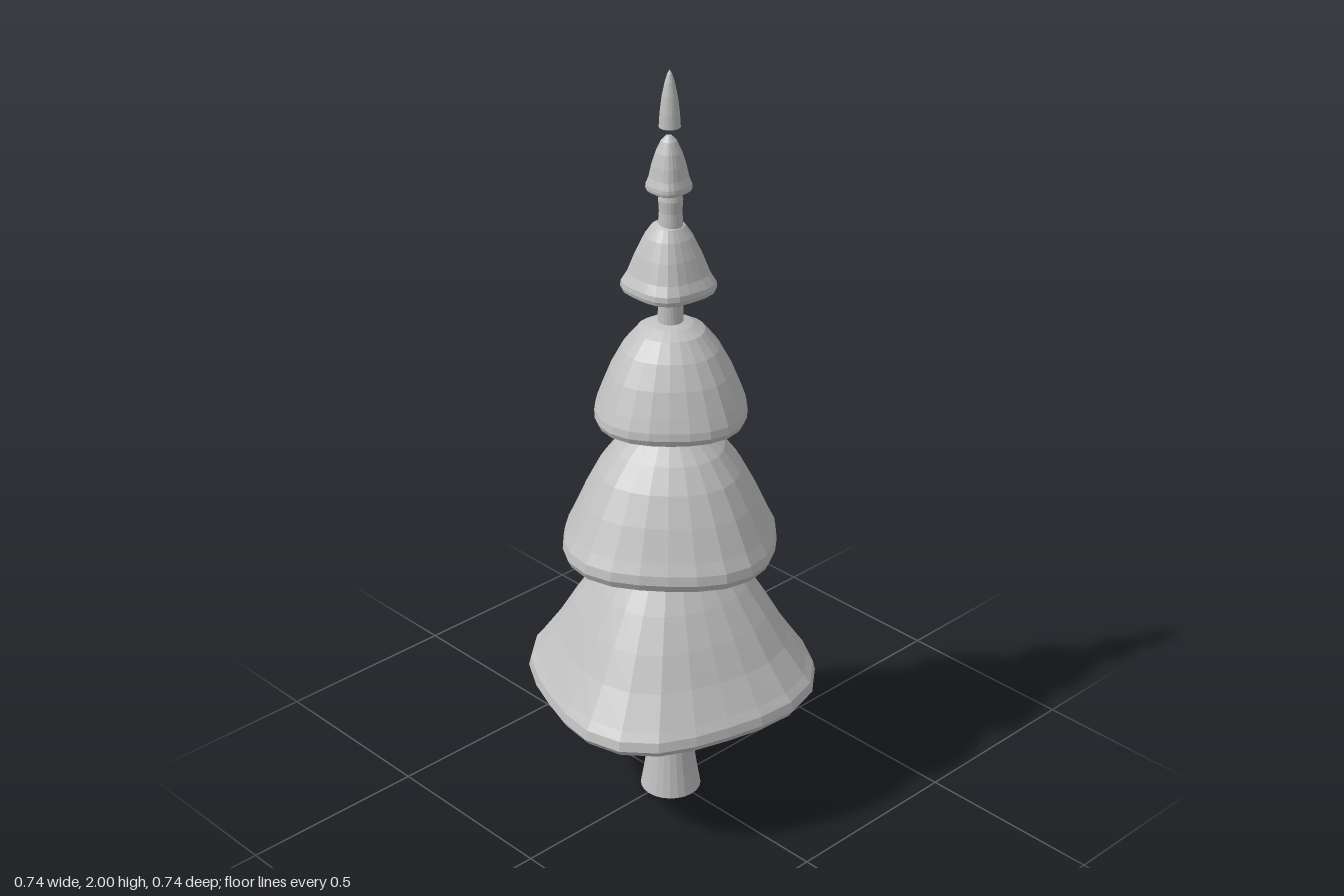
import * as THREE from 'three';

const SEGMENTS = 24;

// One bell-shaped tier: lathe profile with a rolled lip and hollow underside,
// then a gentle four-sided swell and a tilt that both grow towards the rim.
function bell({ radius, rim, dome, wave, turn, start = 0, tilt = [0, 0], offset = [0, 0], lip = 0.03 }) {
  const outer = dome.map(([r, y]) => new THREE.Vector2(r, y));
  const inner = dome.slice().reverse().map(([r, y]) => new THREE.Vector2(r * 0.82, y - lip * 0.8));
  const points = [
    ...inner,
    new THREE.Vector2(radius * 0.74, rim + lip * 0.45),
    new THREE.Vector2(radius * 0.76, rim + lip * 0.2),
    new THREE.Vector2(radius * 0.92, rim),
    new THREE.Vector2(radius * 0.97, rim + lip * 0.15),
    new THREE.Vector2(radius, rim + lip * 0.55),
    new THREE.Vector2(radius * 0.985, rim + lip * 1.1),
    ...outer,
  ];
  const geometry = new THREE.LatheGeometry(points, SEGMENTS, THREE.MathUtils.degToRad(start));
  const p = geometry.attributes.position;
  for (let i = 0; i < p.count; i++) {
    const x = p.getX(i), z = p.getZ(i);
    const k = Math.min(1, Math.hypot(x, z) / radius);
    const angle = Math.atan2(-z, x) - THREE.MathUtils.degToRad(turn);
    const swell = 1 + wave * k * Math.cos(4 * angle);
    const lean = (tilt[0] * x + tilt[1] * z) * k / radius;
    p.setXYZ(i, x * swell + offset[0], p.getY(i) + lean, z * swell + offset[1]);
  }
  geometry.computeVertexNormals();
  return geometry;
}

export function createModel() {
  const group = new THREE.Group();
  const grey = new THREE.MeshStandardMaterial({ color: 0xc0c0c0, side: THREE.DoubleSide, flatShading: true });
  grey.name = 'plainGrey';
  const smoothGrey = grey;

  const add = (name, geometry, material = grey) => {
    const mesh = new THREE.Mesh(geometry, material);
    mesh.name = name;
    group.add(mesh);
    return mesh;
  };

  // Flared trunk running up through the tiers
  const trunk = [
    [0.08, 0], [0.07, 0.06], [0.06, 0.13], [0.053, 0.22], [0.05, 0.32], [0.046, 0.6],
    [0.04, 0.9], [0.036, 1.1], [0.031, 1.4], [0.03, 1.62], [0.028, 1.65], [0.03, 1.68], [0.022, 1.72], [0, 1.74],
  ].map(([r, y]) => new THREE.Vector2(r, y));
  add('trunk', new THREE.LatheGeometry(trunk, SEGMENTS), smoothGrey).position.set(-0.006, 0, 0.004);

  // Foliage tiers, bottom to top
  const tiers = [
    {
      radius: 0.366, rim: 0.335, lip: 0.045, wave: 0.052, turn: 26, start: 11.3, tilt: [0.02, 0],
      dome: [[0.345, 0.405], [0.295, 0.48], [0.25, 0.56], [0.2, 0.64], [0.15, 0.71], [0.1, 0.755], [0.04, 0.785]],
    },
    {
      radius: 0.282, rim: 0.73, lip: 0.045, wave: 0.04, turn: -3, tilt: [-0.012, 0.01], offset: [-0.006, 0.002],
      dome: [[0.262, 0.81], [0.225, 0.89], [0.185, 0.965], [0.14, 1.025], [0.09, 1.068], [0.034, 1.09]],
    },
    {
      radius: 0.197, rim: 1.1, lip: 0.035, wave: 0.035, turn: 0, tilt: [-0.005, 0.006], offset: [-0.004, 0.003],
      dome: [[0.182, 1.17], [0.155, 1.235], [0.122, 1.295], [0.085, 1.34], [0.055, 1.357], [0.028, 1.365]],
    },
    {
      radius: 0.111, rim: 1.44, lip: 0.024, wave: 0.06, turn: 42, tilt: [-0.004, 0.003], offset: [-0.006, -0.003],
      dome: [[0.096, 1.49], [0.078, 1.54], [0.058, 1.585], [0.04, 1.612], [0.026, 1.62]],
    },
    {
      radius: 0.053, rim: 1.7, lip: 0.016, wave: 0.06, turn: 45, offset: [-0.005, -0.003],
      dome: [[0.046, 1.735], [0.04, 1.765], [0.031, 1.797], [0.019, 1.825], [0.008, 1.837], [0, 1.84]],
    },
  ];
  tiers.forEach((tier, i) => add(`foliageTier${i + 1}`, bell(tier)));

  // Slim open cone floating at the very top
  const tip = [[0.026, 1.86], [0.024, 1.895], [0.019, 1.935], [0.012, 1.97], [0.006, 1.99], [0, 2]]
    .map(([r, y]) => new THREE.Vector2(r, y));
  add('treeTip', new THREE.LatheGeometry(tip, SEGMENTS)).position.set(-0.005, 0, 0);

  return group;
}
